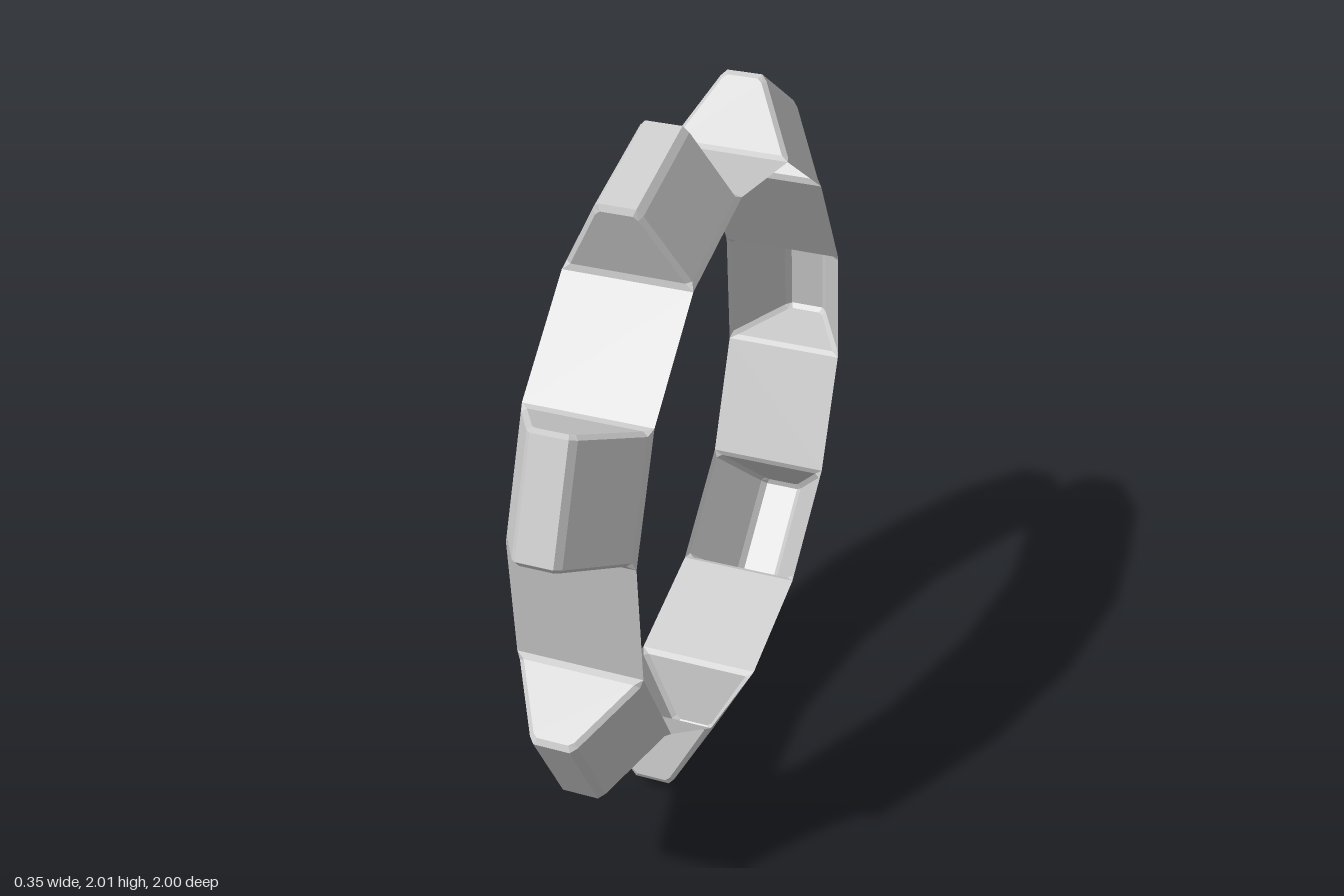
import * as THREE from 'three';

const COUNT = 7;                        // teeth around the ring
const STEP = (Math.PI * 2) / COUNT;
const START = THREE.MathUtils.degToRad(18.4);
const INNER = 0.774;                    // distance from the axis to the flat plates
const HALF = 0.1767;                    // half length of each of the 14 flats
const WIDTH = 0.175;                    // half width of the band

// Mirror the right half of a section: x, radius, position along the tooth
function section(half, sign) {
  const right = half.map(([x, r, t]) => new THREE.Vector3(x, r, t * sign));
  const left = half.map(([x, r, t]) => new THREE.Vector3(-x, r, t * sign));
  return [...left, ...right.reverse()];
}

// Hollow tooth: tapered walls, bevelled ends and a small flared foot, open underneath
function toothGeometry() {
  const body = [[WIDTH, INNER, HALF], [0.167, 0.79, 0.157], [0.066, 0.982, 0.157], [0.05, 1.0, 0.157]];
  const end = [[WIDTH, INNER, HALF], [0.153, 0.79, 0.168], [0.056, 0.974, 0.168], [0.043, 0.985, 0.168]];
  const loops = [section(end, -1), section(body, -1), section(body, 1), section(end, 1)];
  const points = [];
  const quad = (a, b, c, d) => points.push(a, b, c, a, c, d);

  // walls and end bevels
  for (let k = 0; k < 3; k++) {
    const p = loops[k], q = loops[k + 1];
    for (let i = 0; i < 7; i++) quad(p[i], q[i], q[i + 1], p[i + 1]);
  }
  // end faces, in strips from the foot upwards
  const back = loops[0], front = loops[3];
  for (let i = 0; i < 3; i++) {
    quad(front[i], front[7 - i], front[6 - i], front[i + 1]);
    quad(back[i + 1], back[6 - i], back[7 - i], back[i]);
  }
  const geometry = new THREE.BufferGeometry().setFromPoints(points);
  geometry.computeVertexNormals();
  return geometry;
}

export function createModel() {
  const ring = new THREE.Group();
  ring.name = 'toothedRing';
  const material = new THREE.MeshStandardMaterial({
    color: 0xcccccc, flatShading: true, side: THREE.DoubleSide,
  });

  const tooth = toothGeometry();
  const plate = new THREE.PlaneGeometry(WIDTH * 2, HALF * 2);
  plate.rotateX(-Math.PI / 2).translate(0, INNER, 0);

  const add = (geometry, name, angle) => {
    const mesh = new THREE.Mesh(geometry, material);
    mesh.name = name;
    mesh.position.y = 1;
    mesh.rotation.x = angle;
    ring.add(mesh);
  };

  // teeth alternate with flat band plates
  for (let i = 0; i < COUNT; i++) {
    add(tooth, `tooth${i + 1}`, START + i * STEP);
    add(plate, `bandPlate${i + 1}`, START + (i + 0.5) * STEP);
  }
  return ring;
}
